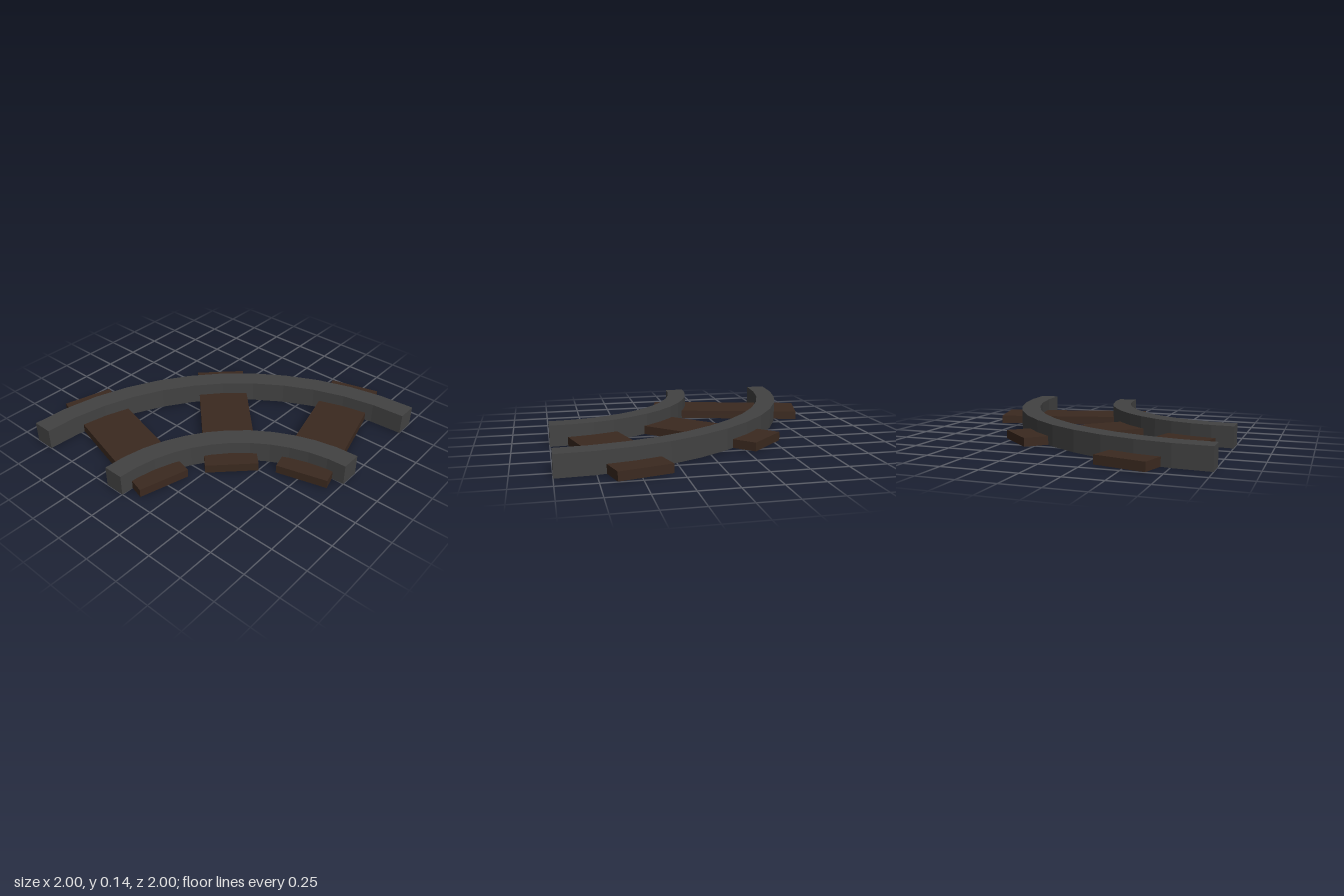
import * as THREE from 'three';

const HEIGHT = 0.145;
const SEGMENTS = 12;

// Quarter-ring rail with a rectangular section, centred on the curve's pivot
function makeRail(name, inner, outer, material) {
  const arc = (radius) => Array.from({ length: SEGMENTS + 1 }, (_, i) => {
    const a = (i / SEGMENTS) * Math.PI / 2;
    return new THREE.Vector2(Math.cos(a) * radius, Math.sin(a) * radius);
  });
  const shape = new THREE.Shape([...arc(outer), ...arc(inner).reverse()]);
  const geometry = new THREE.ExtrudeGeometry(shape, { depth: HEIGHT, bevelEnabled: false });
  geometry.rotateX(-Math.PI / 2);
  const rail = new THREE.Mesh(geometry, material);
  rail.name = name;
  return rail;
}

export function createModel() {
  const steel = new THREE.MeshStandardMaterial({ color: 0x424242, flatShading: true });
  const wood = new THREE.MeshStandardMaterial({ color: 0x3b291f, flatShading: true });

  const track = new THREE.Group();
  track.name = 'curvedTrack';
  track.position.set(-1, 0, 1); // pivot of the curve

  track.add(makeRail('innerRail', 1.0, 1.14, steel));
  track.add(makeRail('outerRail', 1.72, 1.86, steel));

  // Three radial sleepers, their undersides a hair above the rails' to avoid overlap
  const sleeperGeometry = new THREE.BoxGeometry(1.14, 0.059, 0.352).translate(1.45, 0.0305, 0);
  [15, 45, 75].forEach((degrees, i) => {
    const sleeper = new THREE.Mesh(sleeperGeometry, wood);
    sleeper.name = `sleeper${i + 1}`;
    sleeper.rotation.y = THREE.MathUtils.degToRad(degrees);
    track.add(sleeper);
  });

  const model = new THREE.Group();
  model.name = 'railCurve';
  model.add(track);
  return model;
}
